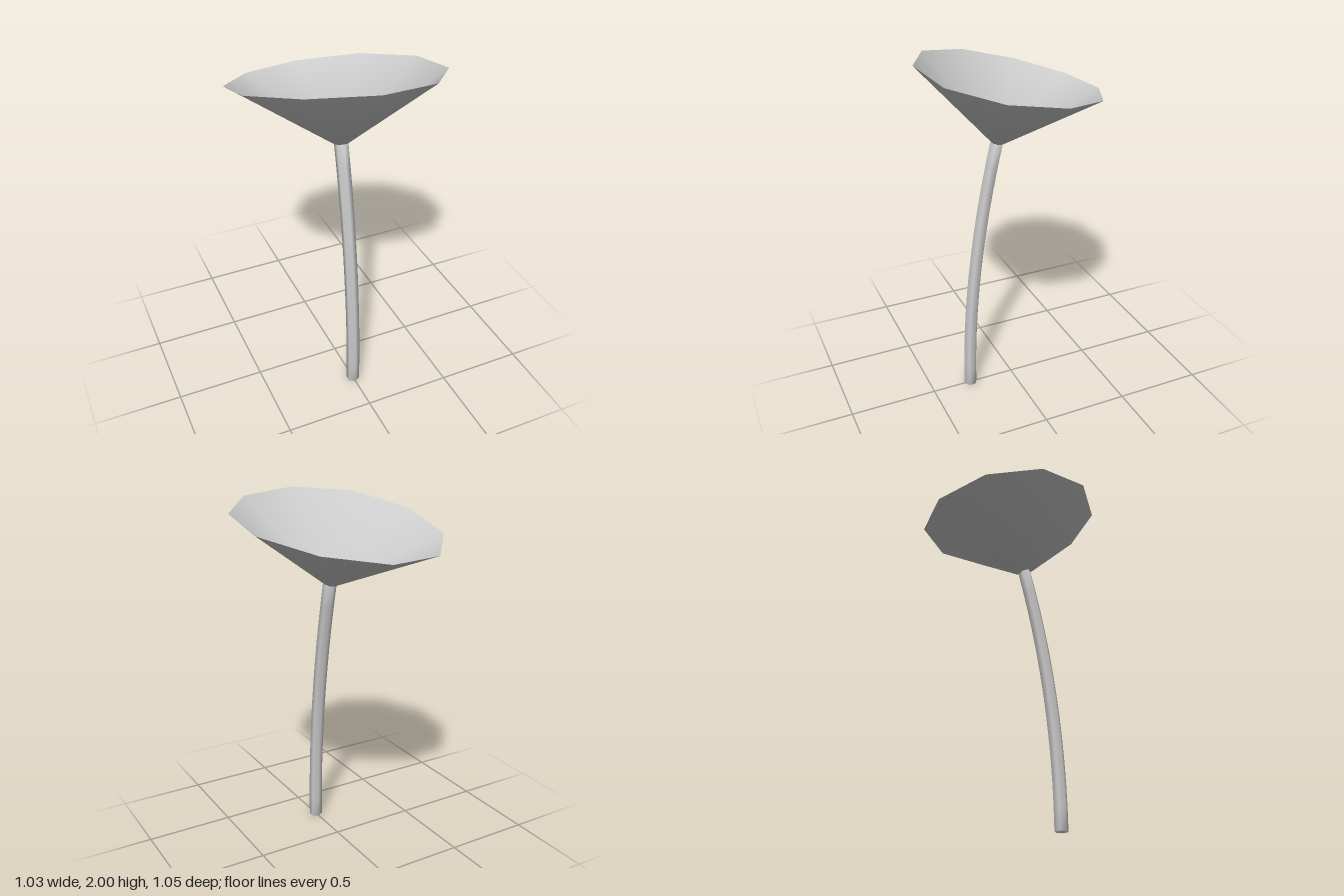
import * as THREE from 'three';

function meshFrom(name, points, indices, material) {
  const geometry = new THREE.BufferGeometry();
  geometry.setAttribute('position', new THREE.Float32BufferAttribute(points.flat(), 3));
  geometry.setIndex(indices);
  geometry.computeVertexNormals();
  const mesh = new THREE.Mesh(geometry, material);
  mesh.name = name;
  return mesh;
}

// Slender six-sided stem that leans back along a parabola
function makeStem(material) {
  const sides = 6, steps = 12, radius = 0.038, height = 1.53;
  const baseZ = 0.268, lean = -0.187;
  const points = [], indices = [];
  for (let i = 0; i <= steps; i++) {
    const t = i / steps;
    const z = baseZ + lean * t * t;
    const tilt = Math.atan((-2 * lean * t) / height);
    for (let k = 0; k < sides; k++) {
      const a = (k / sides) * Math.PI * 2;
      const depth = radius * Math.cos(a);
      points.push([radius * Math.sin(a), t * height + depth * Math.sin(tilt), z + depth * Math.cos(tilt)]);
      if (i === steps) continue;
      const p = i * sides + k, q = i * sides + ((k + 1) % sides);
      indices.push(p, q, q + sides, p, q + sides, p + sides);
    }
  }
  // End caps share the wall vertices, so the ends look rounded
  const bottom = points.length, top = bottom + 1;
  points.push([0, 0, baseZ], [0, height, baseZ + lean]);
  for (let k = 0; k < sides; k++) {
    const n = (k + 1) % sides, last = steps * sides;
    indices.push(bottom, n, k, top, last + k, last + n);
  }
  return meshFrom('stem', points, indices, material);
}

// Shallow ten-sided funnel with a tilted, slightly twisted rim
function makeFunnel(material) {
  const sides = 10;
  const points = [[0, 1.502, 0.082]], indices = [];
  for (let k = 0; k < sides; k++) {
    const a = (k / sides) * Math.PI * 2;
    const s = Math.sin(a), c = Math.cos(a), s2 = Math.sin(2 * a);
    points.push([
      0.539 * s,
      1.874 - 0.126 * c + 0.021 * s + 0.0116 * s2,
      -0.002 - 0.5225 * c + 0.092 * s,
    ]);
    indices.push(0, ((k + 1) % sides) + 1, k + 1);
  }
  return meshFrom('funnel', points, indices, material);
}

export function createModel() {
  const paleGrey = new THREE.MeshStandardMaterial({ color: 0xcccccc, side: THREE.DoubleSide });
  paleGrey.name = 'paleGrey';
  const model = new THREE.Group();
  model.name = 'funnelOnStem';
  model.add(makeStem(paleGrey), makeFunnel(paleGrey));
  return model;
}
